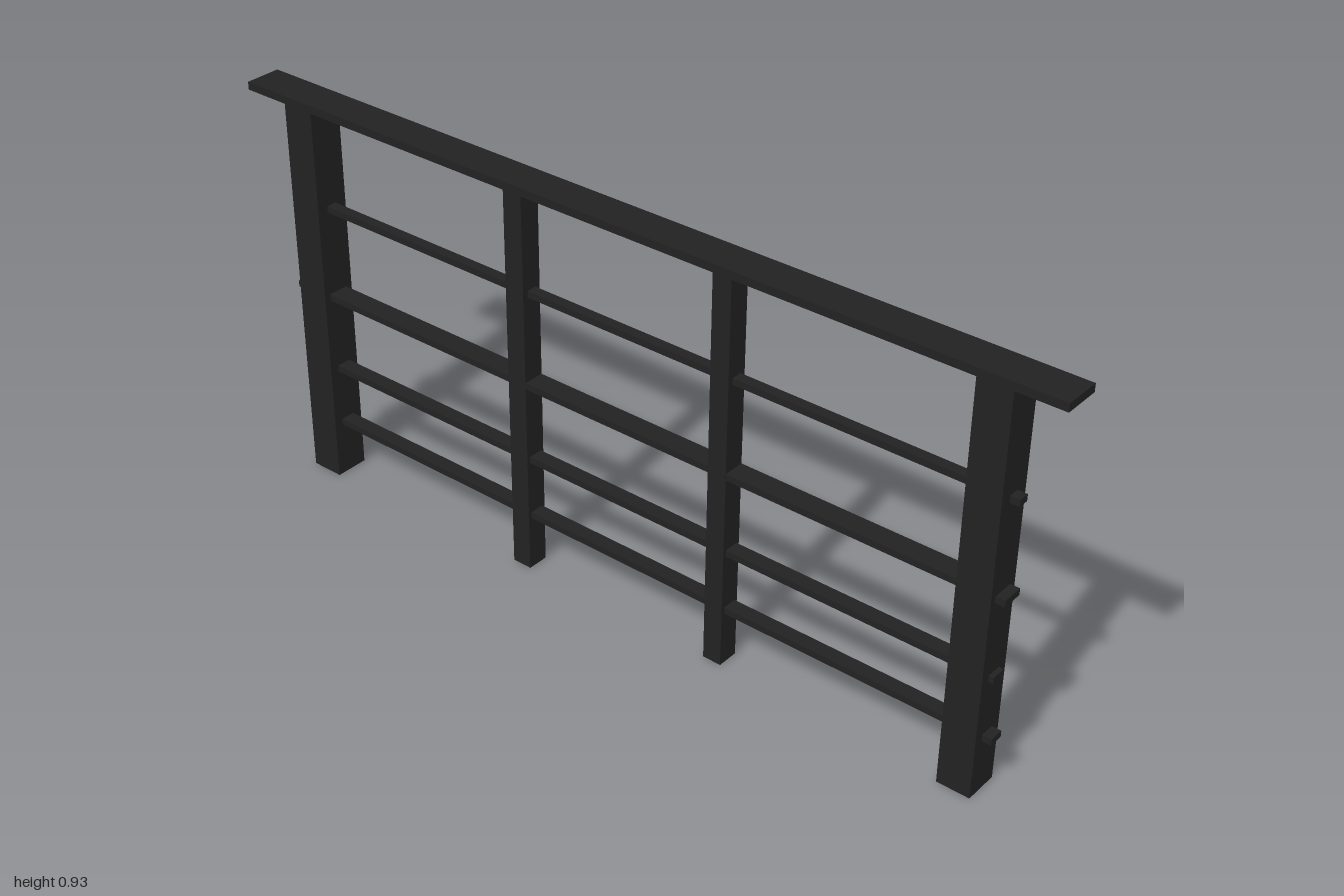
import * as THREE from 'three';

export function createModel() {
  const group = new THREE.Group();
  const paint = new THREE.MeshStandardMaterial({ color: 0x222222 });

  // Box given by its ranges along x, y and z
  function bar(name, [x0, x1], [y0, y1], [z0, z1]) {
    const mesh = new THREE.Mesh(new THREE.BoxGeometry(x1 - x0, y1 - y0, z1 - z0), paint);
    mesh.position.set((x0 + x1) / 2, (y0 + y1) / 2, (z0 + z1) / 2);
    mesh.name = name;
    group.add(mesh);
  }

  // Flat handrail overhanging both ends
  bar('handrail', [-0.043, 0.041], [0.912, 0.93], [-1, 1]);

  // Wide end posts and slimmer middle posts
  bar('frontEndPost', [-0.039, 0.041], [0, 0.913], [0.818, 0.893]);
  bar('backEndPost', [-0.039, 0.041], [0, 0.913], [-0.893, -0.815]);
  bar('frontMiddlePost', [-0.025, 0.025], [0, 0.913], [0.24, 0.284]);
  bar('backMiddlePost', [-0.025, 0.025], [0, 0.913], [-0.284, -0.237]);

  // Horizontal rails running through the posts: height, half width, half length
  const rails = [
    [0.135, 0.017, 0.914],
    [0.277, 0.017, 0.904],
    [0.463, 0.0245, 0.914],
    [0.675, 0.012, 0.914],
  ];
  rails.forEach(([y, w, l], i) => {
    bar(`rail${i + 1}`, [-w, w], [y - 0.0075, y + 0.0075], [-l, l]);
  });

  return group;
}
